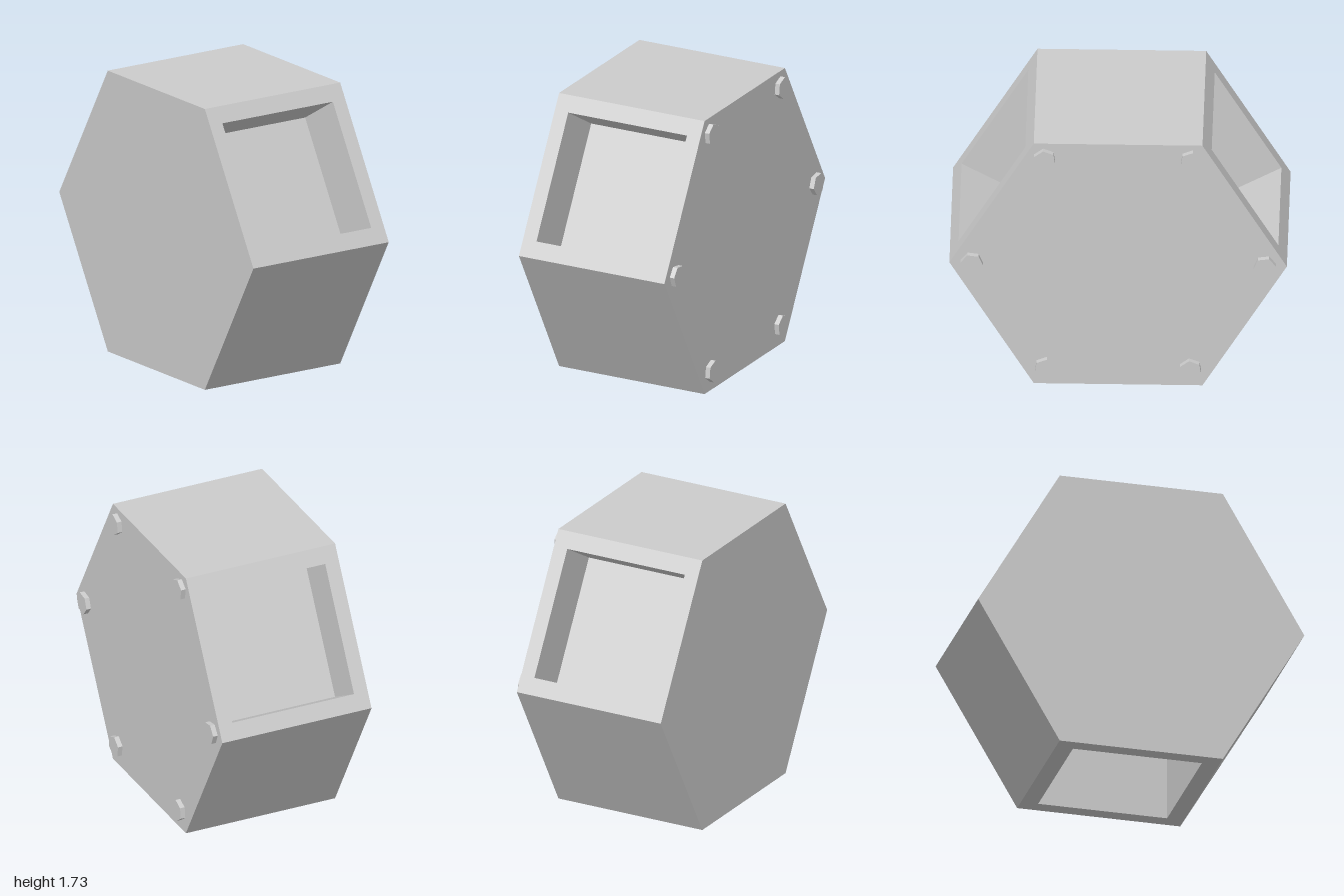
import * as THREE from 'three';

const APOTHEM = Math.sqrt(3) / 2;
const X_MIN = -0.505, X_MAX = 0.475;
const X_MID = (X_MIN + X_MAX) / 2;
const WIDTH = X_MAX - X_MIN;
const OPEN_W = 0.8, OPEN_H = 0.79;

const material = new THREE.MeshStandardMaterial({ color: 0xcccccc, flatShading: true });

function addMesh(parent, geometry, name) {
  const mesh = new THREE.Mesh(geometry, material);
  mesh.name = name;
  parent.add(mesh);
  return mesh;
}

// Corners of a centred rectangle
function rectangle(w, h) {
  return [[-1, -1], [1, -1], [1, 1], [-1, 1]].map(([x, y]) => new THREE.Vector2(x * w / 2, y * h / 2));
}

// Box seen from inside, open towards +z
function recessGeometry(w, h, depth) {
  const box = new THREE.BoxGeometry(w, h, depth);
  const index = Array.from(box.index.array);
  index.splice(24, 6);
  box.clearGroups();
  box.setIndex(index.reverse());
  box.computeVertexNormals();
  return box;
}

export function createModel() {
  const model = new THREE.Group();
  model.name = 'hexagonalHousing';

  const body = new THREE.Group();
  body.name = 'body';
  body.position.set(X_MID, APOTHEM, 0);
  model.add(body);

  // Six side panels, starting at the upper front; every other one has a recess
  const depths = [0.33, 0, 0.42, 0, 0.3, 0];
  depths.forEach((depth, i) => {
    const side = new THREE.Group();
    side.name = depth ? 'recessedSide' : 'plainSide';
    side.rotation.x = -Math.PI / 6 + i * Math.PI / 3;
    body.add(side);

    const shape = new THREE.Shape(rectangle(WIDTH, 1));
    if (depth) shape.holes.push(new THREE.Path(rectangle(OPEN_W, OPEN_H).reverse()));
    addMesh(side, new THREE.ShapeGeometry(shape), 'sidePanel').position.z = APOTHEM;

    if (depth) {
      const recess = addMesh(side, recessGeometry(OPEN_W, OPEN_H, depth), 'recess');
      recess.position.z = APOTHEM - depth / 2;
    }
  });

  // Hexagonal end plates
  for (const s of [-1, 1]) {
    const plate = addMesh(body, new THREE.CircleGeometry(1, 6), s > 0 ? 'leftEndPlate' : 'rightEndPlate');
    plate.rotation.y = s * Math.PI / 2;
    plate.position.x = s * WIDTH / 2;
  }

  // Hexagonal bolt heads on one end plate: z, y, turn in degrees
  const bolts = [
    [0.435, 1.63, -22], [-0.435, 1.632, -38],
    [0.867, 0.876, -8], [-0.87, 0.876, 8],
    [0.43, 0.125, -38], [-0.43, 0.127, -22],
  ];
  const boltGeometry = new THREE.CylinderGeometry(0.067, 0.067, 0.03, 6).rotateZ(-Math.PI / 2);
  for (const [z, y, turn] of bolts) {
    const bolt = addMesh(model, boltGeometry, 'boltHead');
    bolt.position.set(X_MAX + 0.015, y, z);
    bolt.rotation.x = THREE.MathUtils.degToRad(turn);
  }

  return model;
}
